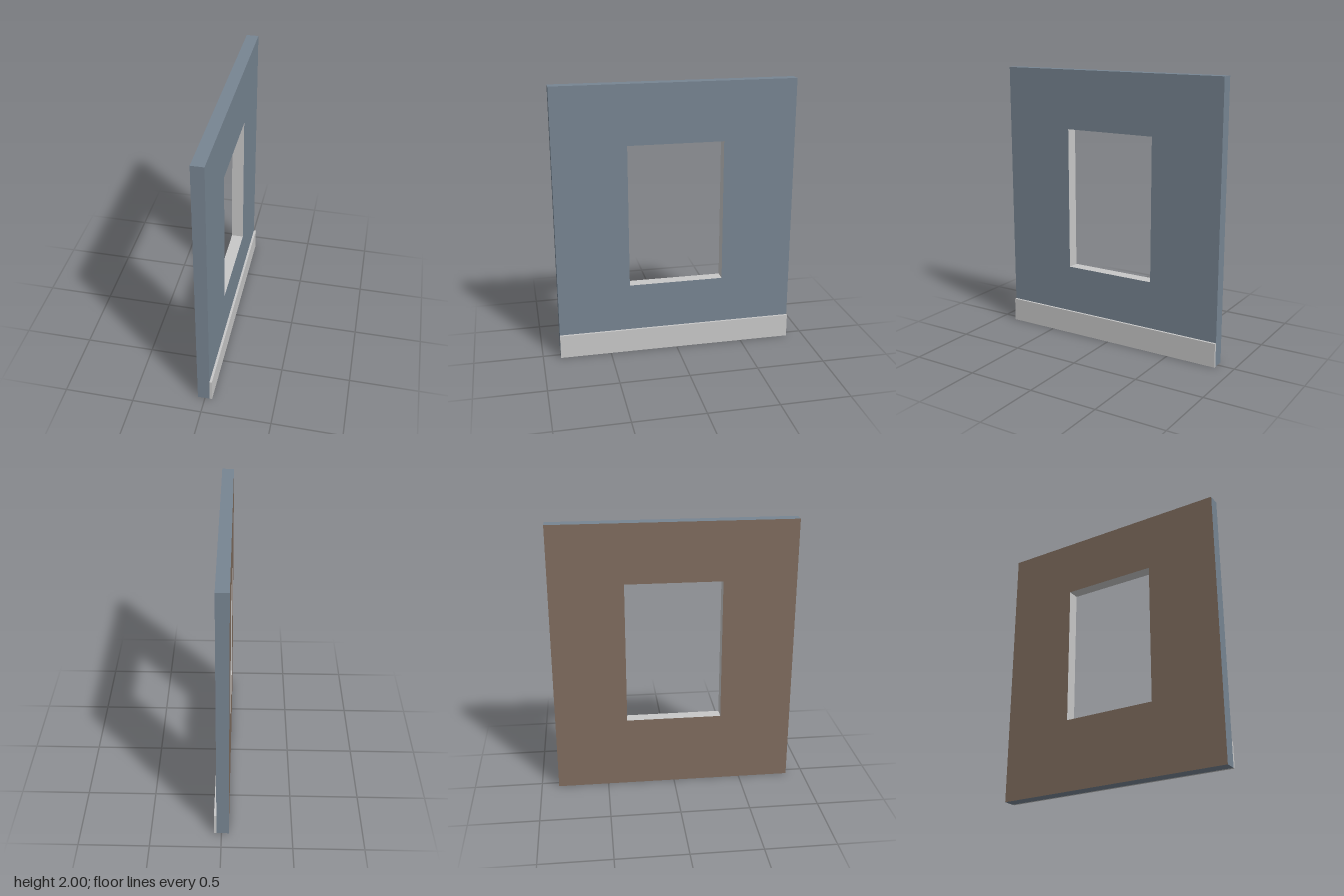
import * as THREE from 'three';
import { mergeGeometries } from 'three/addons/utils/BufferGeometryUtils.js';

const WIDTH = 1.744, HEIGHT = 2, THICK = 0.087;
const BACK_X = -0.052, FRONT_X = BACK_X + THICK;
const OPENING = { width: 0.694, height: 1.046, y: 1.048 };

// Rectangle outline centred on (0, y), counter-clockwise
function rectangle(PathType, width, height, y) {
  const w = width / 2, h = height / 2;
  return new PathType([[-w, y - h], [w, y - h], [w, y + h], [-w, y + h]]
    .map(([a, b]) => new THREE.Vector2(a, b)));
}

// Four planes around a rectangle, facing outward or inward
function band(width, height, y, inward) {
  const sides = [];
  for (let i = 0; i < 4; i++) {
    const [length, reach] = i % 2 ? [height, width] : [width, height];
    sides.push(new THREE.PlaneGeometry(THICK, length)
      .rotateX(inward ? Math.PI / 2 : -Math.PI / 2)
      .translate(0, reach / 2, 0)
      .rotateX(i * Math.PI / 2));
  }
  return mergeGeometries(sides).translate(BACK_X + THICK / 2, y, 0);
}

export function createModel() {
  const model = new THREE.Group();
  model.name = 'wallPanel';
  const paint = (name, color) => {
    const material = new THREE.MeshStandardMaterial({ color });
    material.name = name;
    return material;
  };
  const slate = paint('slate blue', 0x778592);
  const brown = paint('brown', 0x806d5f);
  const grey = paint('light grey', 0xc8c8c8);
  const add = (name, geometry, material) => {
    const mesh = new THREE.Mesh(geometry, material);
    mesh.name = name;
    model.add(mesh);
  };

  // Wall faces with the window opening
  const outline = rectangle(THREE.Shape, WIDTH, HEIGHT, HEIGHT / 2);
  outline.holes.push(rectangle(THREE.Path, OPENING.width, OPENING.height, OPENING.y));
  const face = new THREE.ShapeGeometry(outline);
  add('outerFace', face.clone().rotateY(Math.PI / 2).translate(FRONT_X, 0, 0), slate);
  add('innerFace', face.clone().rotateY(-Math.PI / 2).translate(BACK_X, 0, 0), brown);

  // Outer edges and window reveal
  add('wallEdges', band(WIDTH, HEIGHT, HEIGHT / 2, false), slate);
  add('windowReveal', band(OPENING.width, OPENING.height, OPENING.y, true), grey);

  // Base board along the foot of the outer face
  const depth = 0.017, boardHeight = 0.175;
  add('baseBoard', new THREE.BoxGeometry(depth, boardHeight, WIDTH)
    .translate(FRONT_X + depth / 2, boardHeight / 2, 0), grey);

  return model;
}
